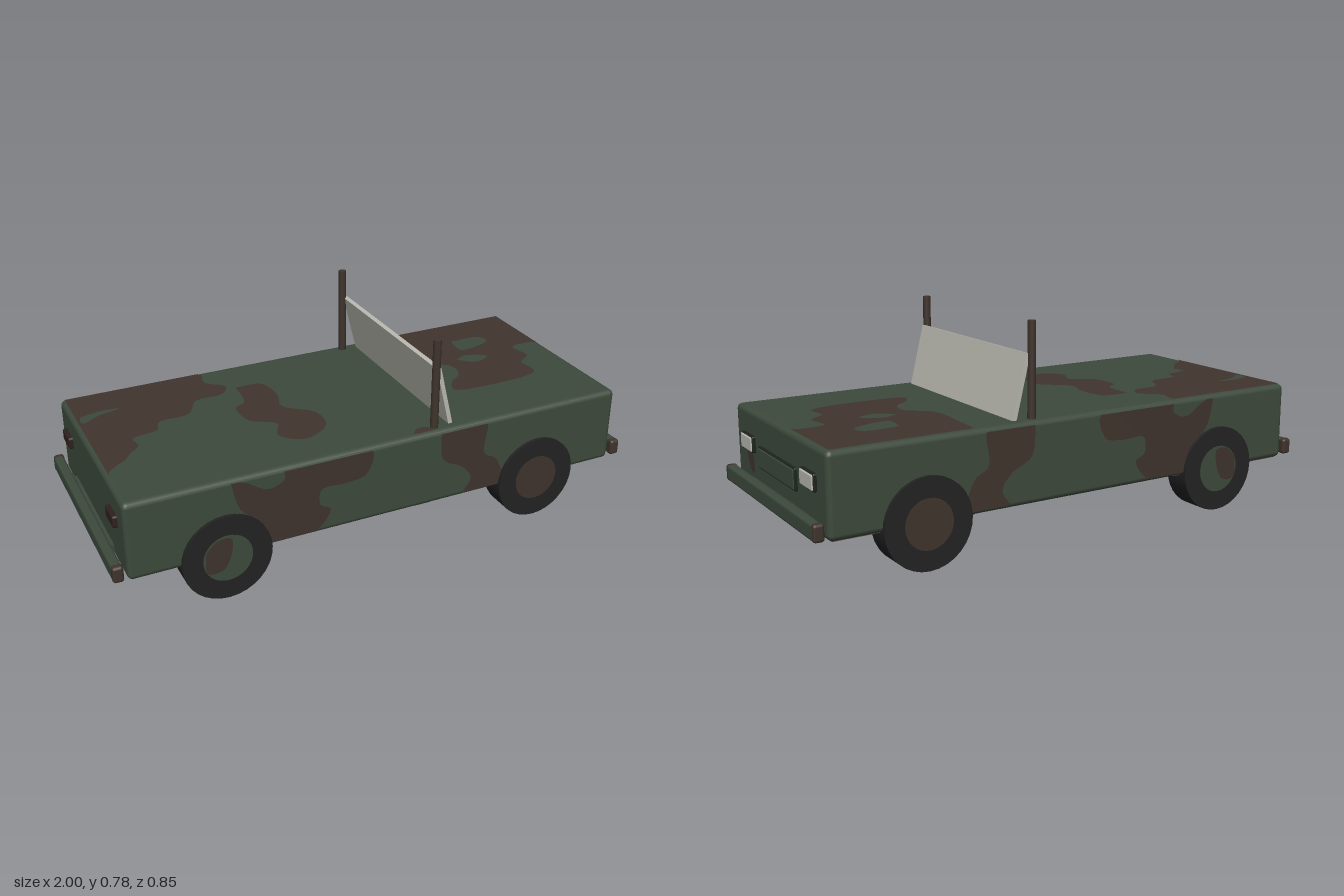
import * as THREE from 'three';
import { RoundedBoxGeometry } from 'three/addons/geometries/RoundedBoxGeometry.js';

const material = (name, color, side = THREE.FrontSide) => {
  const m = new THREE.MeshStandardMaterial({ color, side });
  m.name = name;
  return m;
};

export function createModel() {
  const car = new THREE.Group();
  car.name = 'openTopCar';
  const green = material('camouflage green', 0x3d4a3c);
  const brown = material('camouflage brown', 0x40342d, THREE.DoubleSide);
  const rubber = material('tyre black', 0x232323);
  const glass = material('pale glass', 0xb9b9b0);
  const trim = material('dark trim', 0x1d231c);
  const tail = material('tail light', 0x2e211e);

  const add = (name, geometry, mat, x = 0, y = 0, z = 0) => {
    const mesh = new THREE.Mesh(geometry, mat);
    mesh.name = name;
    mesh.position.set(x, y, z);
    car.add(mesh);
    return mesh;
  };
  const rounded = (w, h, d, r) => new RoundedBoxGeometry(w, h, d, 2, r);

  // Smooth closed outline, kept inside the flat part of a panel
  const outline = (points, box) => {
    const v = [...points, points[0]].map(([a, b]) => new THREE.Vector2(a, b));
    return new THREE.SplineCurve(v).getPoints(points.length * 5).slice(0, -1)
      .map((p) => p.clamp(box.min, box.max));
  };
  // Thin camouflage patch; place() maps the flat outline onto a panel
  const patch = (points, box, place, holes = []) => {
    const shape = new THREE.Shape(outline(points, box));
    holes.forEach((h) => shape.holes.push(new THREE.Path(outline(h, box))));
    const g = new THREE.ShapeGeometry(shape);
    const p = g.attributes.position;
    for (let i = 0; i < p.count; i++) p.setXYZ(i, ...place(p.getX(i), p.getY(i)));
    g.computeVertexNormals();
    add('camouflagePatch', g, brown);
  };
  const area = (a, b, c, d) => new THREE.Box2(new THREE.Vector2(a, b), new THREE.Vector2(c, d));

  // Body
  add('body', rounded(1.9, 0.29, 0.82, 0.02), green, 0, 0.3, 0);

  // Camouflage on deck and underside
  const deck = area(-0.935, -0.395, 0.935, 0.395);
  const deckPatches = [
    { points: [[-1, -0.45], [-0.46, -0.43], [-0.42, -0.31], [-0.36, -0.25], [-0.4, -0.19], [-0.5, -0.18],
      [-0.56, -0.09], [-0.67, -0.08], [-0.7, -0.02], [-0.79, 0], [-0.79, 0.06], [-0.83, 0.1],
      [-0.88, 0.15], [-1, 0.17]],
    holes: [[[-0.92, -0.23], [-0.84, -0.25], [-0.77, -0.24], [-0.85, -0.22], [-0.92, -0.18]]] },
    { points: [[-0.33, -0.22], [-0.23, -0.21], [-0.21, -0.1], [-0.23, 0], [-0.14, 0.09], [-0.15, 0.2],
      [-0.25, 0.26], [-0.33, 0.2], [-0.3, 0.11], [-0.38, 0.05], [-0.39, -0.06], [-0.34, -0.1]] },
    { points: [[0.43, -0.43], [0.99, -0.46], [0.99, -0.09], [0.91, -0.1], [0.82, -0.09], [0.83, 0],
      [0.77, 0.05], [0.77, 0.14], [0.65, 0.17], [0.42, 0.16], [0.43, 0.09], [0.49, 0.04],
      [0.5, -0.04], [0.42, -0.12], [0.42, -0.3]],
    holes: [[[0.62, -0.24], [0.74, -0.24], [0.75, -0.18], [0.62, -0.15]],
      [[0.55, -0.08], [0.61, -0.1], [0.68, -0.06], [0.61, -0.03]]] },
    { points: [[0.1, 0.39], [0.13, 0.36], [0.17, 0.37], [0.17, 0.41]] },
  ];
  for (const { points, holes } of deckPatches) {
    for (const y of [0.447, 0.153]) patch(points, deck, (a, b) => [a, y, b], holes);
  }

  // Camouflage on both flanks
  const flank = area(-0.935, 0.168, 0.935, 0.432);
  const flankPatches = [
    { points: [[-0.59, 0.45], [-0.53, 0.42], [-0.46, 0.38], [-0.4, 0.4], [-0.37, 0.45], [-0.09, 0.45],
      [-0.09, 0.35], [-0.17, 0.33], [-0.26, 0.33], [-0.27, 0.27], [-0.23, 0.24], [-0.27, 0.18],
      [-0.34, 0.15], [-0.45, 0.15], [-0.48, 0.25], [-0.56, 0.33]] },
    { points: [[0.2, 0.45], [0.38, 0.45], [0.38, 0.32], [0.44, 0.27], [0.47, 0.14], [0.29, 0.14],
      [0.33, 0.22], [0.29, 0.28], [0.21, 0.33]] },
  ];
  for (const s of [-1, 1]) {
    for (const { points } of flankPatches) patch(points, flank, (a, b) => [a, b, s * 0.412]);
  }

  // Small patch below one headlight
  patch([[0.31, 0.3], [0.25, 0.3], [0.235, 0.24], [0.25, 0.22], [0.28, 0.24]],
    area(-0.39, 0.17, 0.39, 0.43), (a, b) => [0.952, b, a]);

  // Wheels with hub discs on both faces
  for (const x of [-0.613, 0.61]) {
    for (const s of [-1, 1]) {
      add('tyre', new THREE.CylinderGeometry(0.16, 0.16, 0.1, 32).rotateX(Math.PI / 2), rubber,
        x, 0.16, s * 0.373);
      add('hub', new THREE.CylinderGeometry(0.088, 0.088, 0.104, 32).rotateX(Math.PI / 2),
        x > 0 ? brown : green, x, 0.16, s * 0.373);
      if (x < 0) {
        patch([[-0.69, 0.2], [-0.65, 0.236], [-0.6, 0.235], [-0.6, 0.18], [-0.63, 0.12], [-0.69, 0.12]],
          area(-0.7, 0.07, -0.53, 0.25), (a, b) => [a, b, s * 0.427]);
      }
    }
  }

  // Bumpers with brown tips
  for (const s of [-1, 1]) {
    add('bumper', rounded(0.036, 0.058, 0.82, 0.01), green, s * 0.982, 0.192, 0);
    add('bumperMount', new THREE.BoxGeometry(0.03, 0.03, 0.5), green, s * 0.955, 0.19, 0);
    for (const t of [-1, 1]) {
      add('bumperTip', rounded(0.038, 0.06, 0.03, 0.01), brown, s * 0.981, 0.192, t * 0.397);
    }
  }

  // Lamps and grille plate
  for (const s of [-1, 1]) {
    add('headlightRim', rounded(0.02, 0.06, 0.112, 0.006), trim, 0.953, 0.328, s * 0.275);
    add('headlight', rounded(0.026, 0.053, 0.105, 0.006), glass, 0.954, 0.328, s * 0.275);
    add('tailLight', rounded(0.026, 0.045, 0.09, 0.008), tail, -0.954, 0.342, s * 0.29);
  }
  add('grilleRim', rounded(0.018, 0.078, 0.334, 0.005), trim, 0.952, 0.298, 0);
  add('grille', rounded(0.024, 0.07, 0.326, 0.005), green, 0.952, 0.298, 0);

  // Raked windscreen between two posts
  const screen = add('windscreen', new THREE.BoxGeometry(0.016, 0.235, 0.744), glass, 0.23, 0.555, 0);
  screen.rotation.z = Math.atan2(0.055, 0.225);
  for (const s of [-1, 1]) {
    add('windscreenPost', new THREE.CylinderGeometry(0.0145, 0.0145, 0.36, 12), brown, 0.19, 0.6, s * 0.373);
  }
  return car;
}
